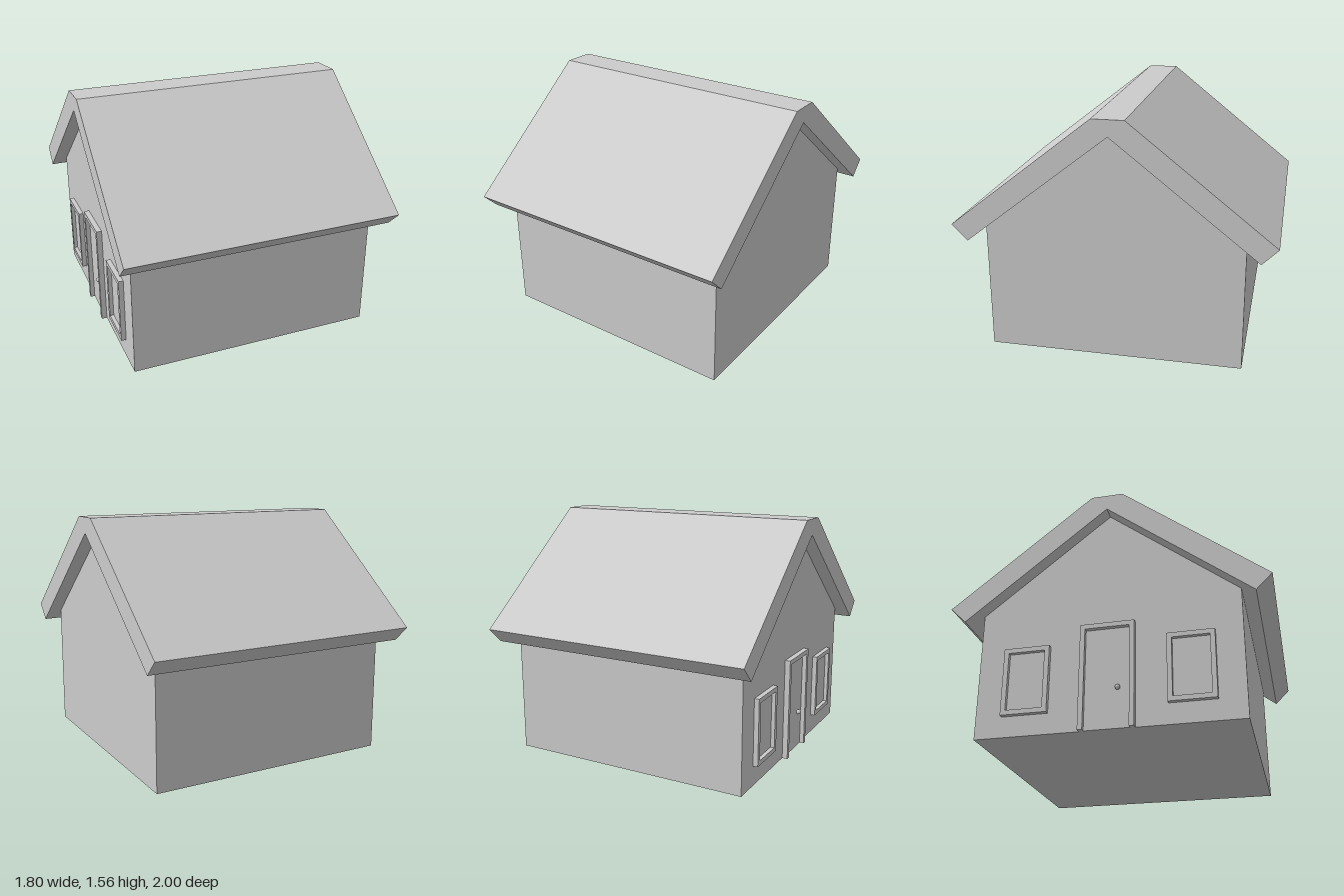
import * as THREE from 'three';

export function createModel() {
  const house = new THREE.Group();
  house.name = 'house';
  const grey = new THREE.MeshStandardMaterial({ color: 0xcccccc });
  grey.name = 'plain grey';

  const add = (parent, name, geometry) => {
    const mesh = new THREE.Mesh(geometry, grey);
    mesh.name = name;
    parent.add(mesh);
    return mesh;
  };
  const outline = (points) => new THREE.Shape(points.map(([x, y]) => new THREE.Vector2(x, y)));
  const extrude = (shape, depth) =>
    new THREE.ExtrudeGeometry(shape, { depth, bevelEnabled: false });
  // Gable profile swept along the ridge (x axis)
  const alongRidge = (points, halfLength) =>
    extrude(outline(points), halfLength * 2).translate(0, 0, -halfLength).rotateY(Math.PI / 2);

  // Walls with gable ends, and the roof resting on them
  add(house, 'walls', alongRidge(
    [[-0.81, 0], [0.81, 0], [0.81, 0.82], [0, 1.458], [-0.81, 0.82]], 0.81));
  add(house, 'roof', alongRidge(
    [[0.9, 0.75], [1, 0.85], [0.1, 1.56], [-0.1, 1.56], [-1, 0.85], [-0.9, 0.75], [0, 1.458]], 0.9));

  // Entrance side: built facing +z, then turned to the -x gable
  const entrance = new THREE.Group();
  entrance.name = 'entranceSide';
  entrance.rotation.y = -Math.PI / 2;
  entrance.position.x = -0.81;
  house.add(entrance);

  const trim = 0.03;

  // Door frame, open at the floor
  const w = 0.167, h = 0.67;
  add(entrance, 'doorFrame', extrude(outline([
    [-w, 0], [-w + trim, 0], [-w + trim, h - trim], [w - trim, h - trim],
    [w - trim, 0], [w, 0], [w, h], [-w, h]]), 0.035));
  add(entrance, 'doorPanel', new THREE.BoxGeometry(2 * (w - trim), h - trim, 0.008))
    .position.set(0, (h - trim) / 2, 0.002);

  // Door knob
  add(entrance, 'doorKnob', new THREE.SphereGeometry(0.016, 16, 12)).position.set(0.065, 0.25, 0.018);

  // Two framed windows either side of the door
  const rect = (x0, y0, x1, y1) => [[x0, y0], [x1, y0], [x1, y1], [x0, y1]];
  for (const side of [-1, 1]) {
    const frame = outline(rect(-0.143, 0.13, 0.143, 0.56));
    frame.holes.push(outline(rect(-0.143 + trim, 0.13 + trim, 0.143 - trim, 0.56 - trim)));
    const window = new THREE.Group();
    window.name = side < 0 ? 'rearWindow' : 'frontWindow';
    window.position.x = side * 0.502;
    entrance.add(window);
    add(window, 'windowFrame', extrude(frame, 0.031));
    add(window, 'windowPane', new THREE.BoxGeometry(0.226, 0.37, 0.008)).position.set(0, 0.345, 0.002);
  }
  return house;
}
